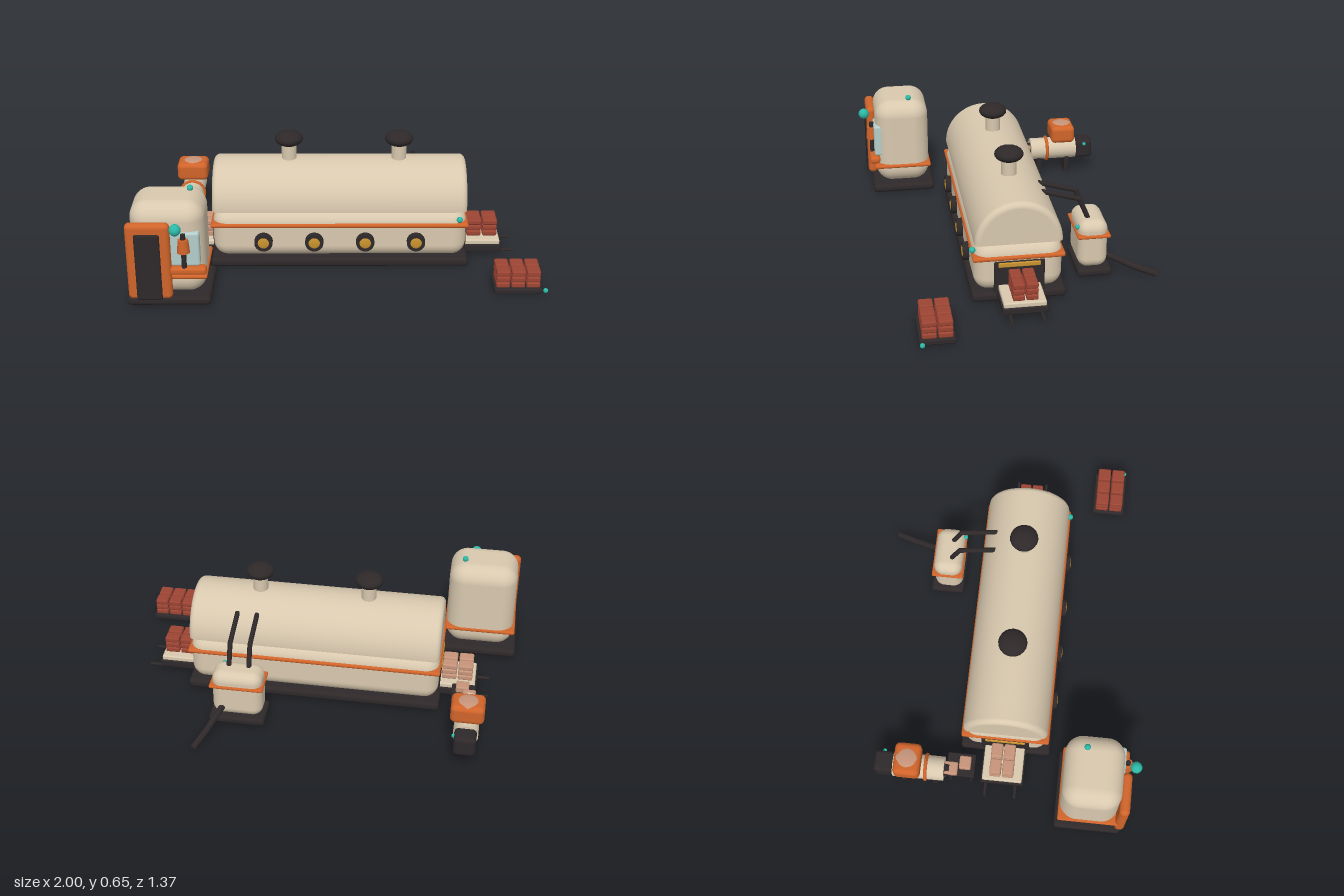
import * as THREE from 'three';
import { RoundedBoxGeometry } from 'three/addons/geometries/RoundedBoxGeometry.js';

const paint = (name, color, opts = {}) => {
  const m = new THREE.MeshStandardMaterial({ color, ...opts });
  m.name = name;
  return m;
};

export function createModel() {
  const cream = paint('cream', 0xd8c8ae);
  const orange = paint('orange', 0xd0642a);
  const dark = paint('charcoal', 0x2e2829);
  const brick = paint('firedBrick', 0x9c4433);
  const clay = paint('rawClay', 0xc6947a);
  const gold = paint('gold', 0xc9932f);
  const teal = paint('teal', 0x2bb8a6);
  const glass = paint('glass', 0xb4cecb);

  const model = new THREE.Group();
  model.name = 'brickKilnPlant';
  const group = (name) => {
    const g = new THREE.Group();
    g.name = name;
    model.add(g);
    return g;
  };
  const add = (parent, name, geo, mat, x = 0, y = 0, z = 0) => {
    const m = new THREE.Mesh(geo, mat);
    m.name = name;
    m.position.set(x, y, z);
    parent.add(m);
    return m;
  };
  // Rounded box given by its min and max on each axis
  const box = (parent, name, mat, [x0, x1], [y0, y1], [z0, z1], r = 0.01, seg = 4) =>
    add(parent, name, new RoundedBoxGeometry(x1 - x0, y1 - y0, z1 - z0, seg, r), mat,
      (x0 + x1) / 2, (y0 + y1) / 2, (z0 + z1) / 2);
  const ball = (parent, name, mat, r, x, y, z) =>
    add(parent, name, new THREE.SphereGeometry(r, 20, 14), mat, x, y, z);
  // Round bar running through straight segments, with ball joints
  const pipe = (parent, name, mat, r, pts) => {
    const v = pts.map((p) => new THREE.Vector3(...p));
    for (let i = 0; i < v.length - 1; i++) {
      const d = v[i + 1].clone().sub(v[i]);
      const m = add(parent, name, new THREE.CylinderGeometry(r, r, d.length(), 14), mat);
      m.position.copy(v[i]).addScaledVector(d, 0.5);
      m.quaternion.setFromUnitVectors(new THREE.Vector3(0, 1, 0), d.normalize());
      if (i > 0) ball(parent, name + 'Joint', mat, r, ...pts[i]);
    }
  };
  // Stack of bricks: corner position, counts and brick pitch
  const stack = (parent, mat, x, y, z, nx, nz, px, pz) => {
    const h = 0.03, gap = 0.007;
    for (let j = 0; j < 3; j++)
      for (let i = 0; i < nx; i++)
        for (let k = 0; k < nz; k++)
          box(parent, 'brick', mat, [x + i * px, x + (i + 1) * px - gap],
            [y + j * h, y + (j + 1) * h - 0.002], [z + k * pz, z + (k + 1) * pz - gap], 0.008, 2);
  };

  // Kiln
  const kiln = group('kiln');
  const KZ = 0.013;
  box(kiln, 'kilnBase', dark, [-0.638, 0.638], [0.01, 0.056], [KZ - 0.225, KZ + 0.225], 0.018);
  box(kiln, 'kilnBody', cream, [-0.626, 0.626], [0.052, 0.3], [KZ - 0.21, KZ + 0.21], 0.07, 6);
  box(kiln, 'kilnBand', orange, [-0.634, 0.634], [0.22, 0.243], [KZ - 0.218, KZ + 0.218], 0.011);

  // Half-round vault with softened ends
  const R = 0.208, L = 0.626, c = 0.028;
  const profile = [new THREE.Vector2(0, -L)];
  for (let i = 0; i <= 6; i++) {
    const a = (i / 6) * Math.PI / 2;
    profile.push(new THREE.Vector2(R - c + c * Math.sin(a), -L + c - c * Math.cos(a)));
  }
  const half = profile.slice();
  for (let i = half.length - 1; i >= 0; i--) profile.push(new THREE.Vector2(half[i].x, -half[i].y));
  const vaultGeo = new THREE.LatheGeometry(profile, 40, 0, Math.PI);
  vaultGeo.rotateZ(Math.PI / 2);
  add(kiln, 'vault', vaultGeo, cream, 0, 0.302, KZ);
  const under = new THREE.PlaneGeometry(2 * L, 2 * R);
  under.rotateX(Math.PI / 2);
  add(kiln, 'vaultUnderside', under, cream, 0, 0.302, KZ);

  // Chimneys
  for (const x of [-0.25, 0.294]) {
    add(kiln, 'chimney', new THREE.CylinderGeometry(0.037, 0.037, 0.14, 24), cream, x, 0.53, KZ);
    ball(kiln, 'chimneyCap', dark, 0.07, x, 0.611, KZ).scale.y = 0.53;
  }
  // Fire ports along the front
  for (const x of [-0.375, -0.125, 0.126, 0.376]) {
    const rim = new THREE.CylinderGeometry(0.045, 0.045, 0.04, 28);
    rim.rotateX(Math.PI / 2);
    add(kiln, 'portRim', rim, dark, x, 0.15, 0.232);
    ball(kiln, 'portGlow', gold, 0.03, x, 0.15, 0.25).scale.z = 0.2;
  }
  ball(kiln, 'kilnLamp', teal, 0.015, 0.588, 0.267, 0.229);

  // Tunnel mouths and loaded carts at both ends
  for (const s of [-1, 1]) {
    const span = (a, b) => (s > 0 ? [a, b] : [-b, -a]);
    const end = group(s > 0 ? 'exitEnd' : 'entryEnd');
    box(end, 'tunnelMouth', dark, span(0.6, 0.632), [0.022, 0.217], [KZ - 0.12, KZ + 0.12], 0.008);
    box(end, 'tunnelGlow', gold, span(0.61, 0.637), [0.187, 0.212], [KZ - 0.1, KZ + 0.1], 0.006);
    box(end, 'cartFrame', dark, span(0.6, 0.814), [0.04, 0.072], [KZ - 0.107, KZ + 0.107], 0.006);
    box(end, 'cartDeck', cream, span(0.6, 0.806), [0.068, 0.096], [KZ - 0.1, KZ + 0.1], 0.008);
    stack(end, s > 0 ? brick : clay, s > 0 ? 0.642 : -0.79, 0.097, -0.05, 2, 2, 0.08, 0.063);
    for (const z of [-0.068, 0.082])
      pipe(end, 'rail', dark, 0.008, [[s * 0.5, 0.025, z], [s * 0.875, 0.025, z]]);
    for (const x of [0.67, 0.77])
      for (const z of [-0.068, 0.082]) {
        const wheel = new THREE.CylinderGeometry(0.02, 0.02, 0.016, 16);
        wheel.rotateX(Math.PI / 2);
        add(end, 'cartWheel', wheel, dark, s * x, 0.042, z);
      }
  }

  // Pallet of finished bricks
  const pallet = group('pallet');
  box(pallet, 'palletBase', dark, [0.738, 0.968], [0.01, 0.038], [0.348, 0.515], 0.008);
  stack(pallet, brick, 0.748, 0.037, 0.36, 3, 2, 0.0725, 0.074);
  ball(pallet, 'palletLamp', teal, 0.012, 0.985, 0.025, 0.502);

  // Control cabin
  const cabin = group('cabin');
  box(cabin, 'cabinBase', dark, [-0.998, -0.604], [0.01, 0.056], [0.29, 0.622], 0.02);
  box(cabin, 'cabinBody', cream, [-0.974, -0.626], [0.05, 0.518], [0.311, 0.598], 0.085, 6);
  box(cabin, 'cabinBand', orange, [-0.985, -0.618], [0.146, 0.167], [0.305, 0.61], 0.01);
  box(cabin, 'doorFrame', orange, [-0.986, -0.78], [0.055, 0.443], [0.59, 0.64], 0.022);
  box(cabin, 'doorPanel', dark, [-0.945, -0.825], [0.055, 0.395], [0.625, 0.647], 0.01);
  box(cabin, 'window', glass, [-0.785, -0.647], [0.215, 0.387], [0.56, 0.608], 0.012);
  box(cabin, 'sill', orange, [-0.79, -0.618], [0.18, 0.218], [0.58, 0.635], 0.015);
  pipe(cabin, 'leverRod', dark, 0.012, [[-0.72, 0.21, 0.618], [-0.72, 0.387, 0.618]]);
  add(cabin, 'leverGrip', new THREE.CylinderGeometry(0.024, 0.03, 0.066, 18), orange, -0.72, 0.328, 0.618);
  ball(cabin, 'doorLamp', teal, 0.028, -0.75, 0.427, 0.655);
  ball(cabin, 'roofLamp', teal, 0.015, -0.7, 0.527, 0.413);

  // Blower unit with ducts into the vault
  const blower = group('blower');
  box(blower, 'blowerBase', dark, [0.198, 0.475], [0.01, 0.05], [-0.468, -0.298], 0.016);
  box(blower, 'blowerBody', cream, [0.212, 0.46], [0.045, 0.293], [-0.45, -0.304], 0.05, 6);
  box(blower, 'blowerBand', orange, [0.203, 0.469], [0.212, 0.229], [-0.458, -0.296], 0.008);
  for (const x of [0.287, 0.385])
    pipe(blower, 'duct', dark, 0.012, [[x, 0.446, -0.13], [x, 0.393, -0.315], [x, 0.28, -0.362]]);
  pipe(blower, 'intakePipe', dark, 0.016, [[0.405, 0.1, -0.435], [0.462, 0.045, -0.58], [0.504, 0.018, -0.682]]);
  ball(blower, 'blowerLamp', teal, 0.012, 0.42, 0.26, -0.302);

  // Clay extruder
  const extruder = group('extruder');
  const EX = -0.785, EY = 0.14;
  const along = (r, len, z, name, mat) => {
    const g = new THREE.CylinderGeometry(r, r, len, 28);
    g.rotateX(Math.PI / 2);
    add(extruder, name, g, mat, EX, EY, z);
  };
  along(0.06, 0.255, -0.402, 'barrel', cream);
  add(extruder, 'barrelRing', new THREE.TorusGeometry(0.062, 0.009, 10, 28), orange, EX, EY, -0.365);
  box(extruder, 'hopper', orange, [-0.866, -0.705], [0.195, 0.293], [-0.517, -0.385], 0.025);
  ball(extruder, 'hopperClay', clay, 0.057, EX, 0.285, -0.452).scale.y = 0.25;
  box(extruder, 'motor', dark, [-0.838, -0.732], [0.09, 0.194], [-0.622, -0.528], 0.02);
  ball(extruder, 'motorLamp', teal, 0.01, -0.73, 0.175, -0.576);
  for (const z of [-0.478, -0.32])
    box(extruder, 'foot', dark, [EX - 0.05, EX + 0.05], [0.01, 0.1], [z - 0.013, z + 0.013], 0.006);
  along(0.035, 0.03, -0.265, 'nozzle', dark);

  // Cutting table with fresh clay
  const table = group('cuttingTable');
  box(table, 'tableTop', dark, [-0.812, -0.695], [0.115, 0.134], [-0.265, -0.125], 0.006);
  for (const x of [-0.8, -0.707])
    for (const z of [-0.246, -0.142])
      pipe(table, 'tableLeg', dark, 0.008, [[x, 0.01, z], [x, 0.12, z]]);
  box(table, 'claySlug', clay, [-0.815, -0.75], [0.134, 0.17], [-0.275, -0.208], 0.008, 2);
  box(table, 'cutBrick', clay, [-0.78, -0.715], [0.134, 0.17], [-0.203, -0.145], 0.008, 2);

  return model;
}
